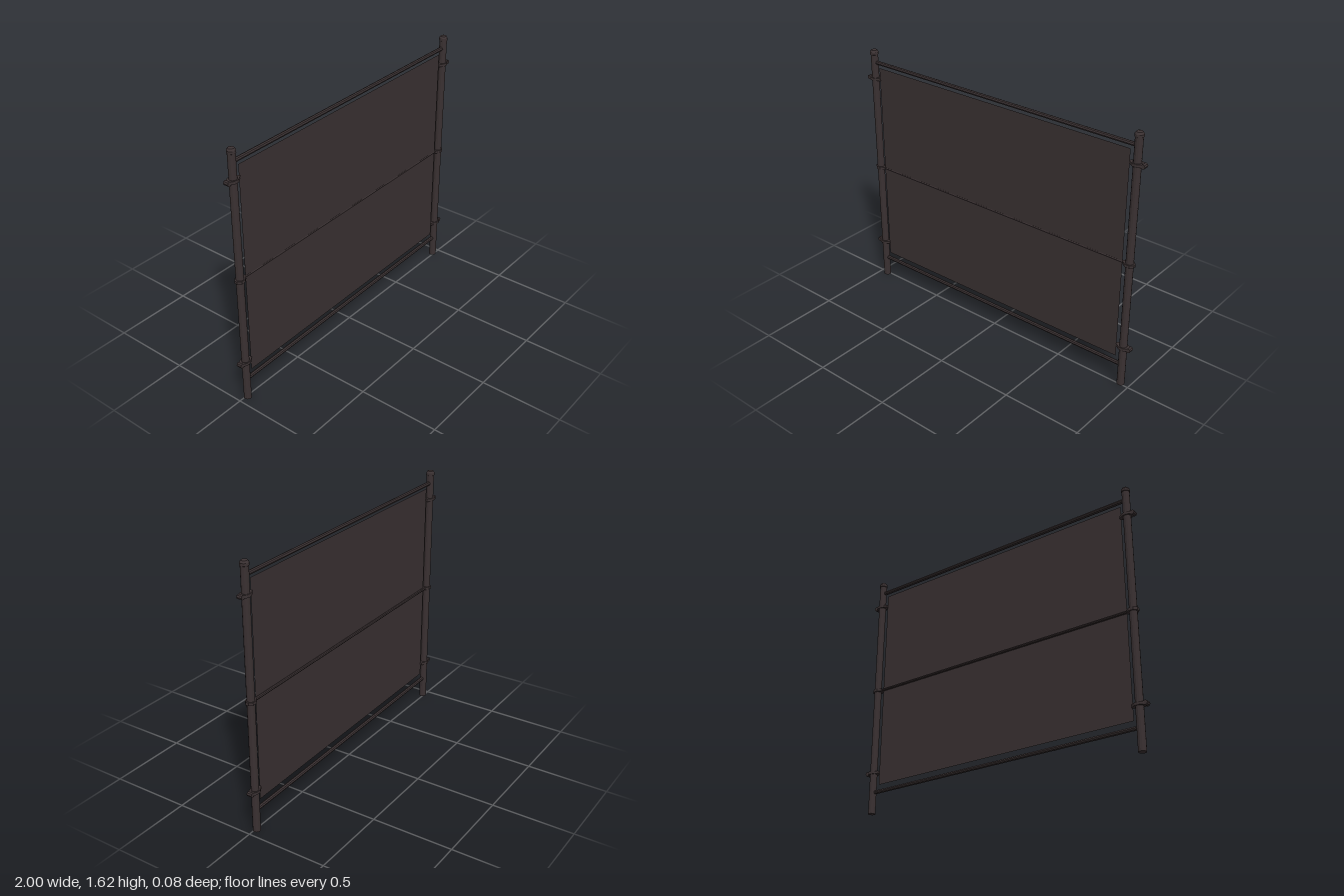
import * as THREE from 'three';

export function createModel() {
  const group = new THREE.Group();
  const metal = new THREE.MeshStandardMaterial({ color: 0x3a3132, flatShading: true });
  metal.name = 'dark coated metal';
  metal.side = THREE.DoubleSide;

  const add = (name, geometry, x, y, z) => {
    const mesh = new THREE.Mesh(geometry, metal);
    mesh.name = name;
    mesh.position.set(x, y, z);
    group.add(mesh);
    return mesh;
  };
  const rail = (name, y, z, radius) => {
    add(name, new THREE.CylinderGeometry(radius, radius, 1.88, 8), 0, y, z).rotation.z = Math.PI / 2;
  };

  // Flat strap outline seen from above, tapering away from the post on both sides
  const strap = (inner, outer, height) => {
    const half = [[outer, 0.009], [0.014, 0.027], [-0.014, 0.027], [inner, 0.008]];
    const points = [...half, ...half.slice().reverse().map(([x, z]) => [x, -z])];
    const shape = new THREE.Shape(points.map(([x, z]) => new THREE.Vector2(x, z)));
    return new THREE.ExtrudeGeometry(shape, { depth: height, bevelEnabled: false })
      .translate(0, 0, -height / 2).rotateX(-Math.PI / 2);
  };

  // Domed post profile
  const post = [[0, 0], [0.023, 0], [0.023, 1.58], [0.026, 1.582], [0.026, 1.597], [0.018, 1.609], [0, 1.615]]
    .map(([x, y]) => new THREE.Vector2(x, y));

  for (const side of [-1, 1]) {
    const label = side > 0 ? 'left' : 'right';
    const x = side * 0.945;
    add(label + 'Post', new THREE.LatheGeometry(post, 12), x, 0, 0);

    // Upper and lower clamps, each with a bolt at the outer end
    for (const y of [0.26, 1.425]) {
      const clamp = add(label + 'Clamp', strap(-0.045, 0.05, 0.017), x, y, 0);
      if (side < 0) clamp.rotation.y = Math.PI;
      add(label + 'ClampBolt', new THREE.CylinderGeometry(0.014, 0.014, 0.032, 8), side * 0.986, y, 0)
        .rotation.x = Math.PI / 2;
      add(label + 'ClampBand', new THREE.CylinderGeometry(0.028, 0.028, 0.018, 12), x, y, 0);
    }

    // Middle band holding the brace rail
    const band = add(label + 'MiddleBand', strap(-0.04, 0.032, 0.018), x, 0.815, 0);
    if (side < 0) band.rotation.y = Math.PI;
    add(label + 'MiddleCollar', new THREE.CylinderGeometry(0.028, 0.028, 0.018, 12), x, 0.815, 0);
  }

  // Rails and the infill sheet
  rail('topRail', 1.53, 0, 0.0125);
  rail('bottomRail', 0.135, 0, 0.0125);
  rail('middleRail', 0.815, -0.003, 0.009);
  add('infillPanel', new THREE.PlaneGeometry(1.805, 1.32), -0.002, 0.84, 0.003);

  // The whole panel stands at a slight angle
  group.rotation.y = 0.0105;
  return group;
}
